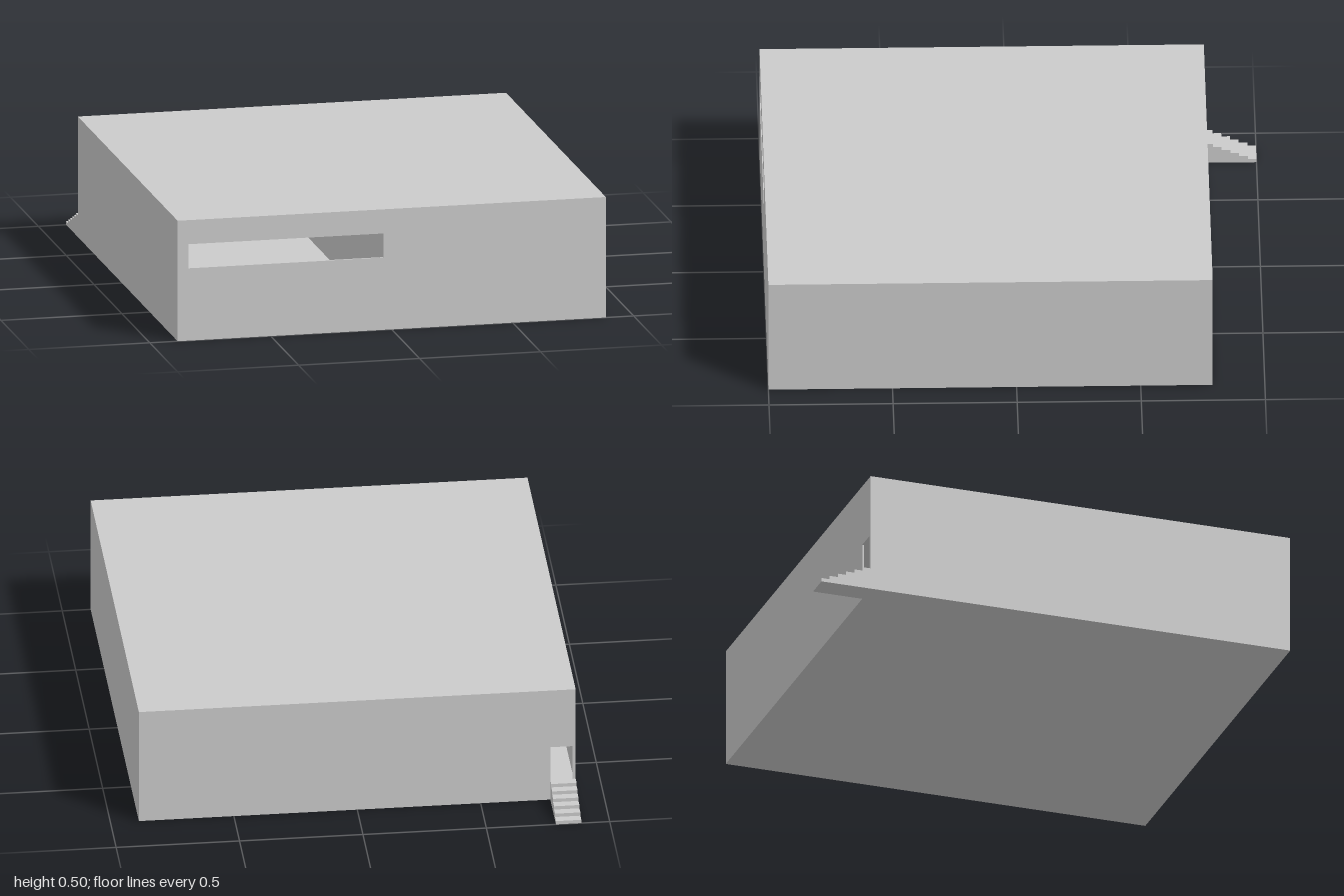
import * as THREE from 'three';

const X = 0.885, H = 0.5, BACK = -0.79, FRONT = 1, T = 0.008;
const DOOR_SILL = 0.09;

export function createModel() {
  const group = new THREE.Group();
  const material = new THREE.MeshStandardMaterial({ color: 0xcccccc, flatShading: true });

  const add = (name, geometry) => {
    const mesh = new THREE.Mesh(geometry, material);
    mesh.name = name;
    group.add(mesh);
    return mesh;
  };

  // Box given by its lower and upper corners
  const box = (name, x0, x1, y0, y1, z0, z1) =>
    add(name, new THREE.BoxGeometry(x1 - x0, y1 - y0, z1 - z0)
      .translate((x0 + x1) / 2, (y0 + y1) / 2, (z0 + z1) / 2));

  const rect = (Type, x0, x1, y0, y1) => new Type([
    new THREE.Vector2(x0, y0), new THREE.Vector2(x1, y0),
    new THREE.Vector2(x1, y1), new THREE.Vector2(x0, y1),
  ]);

  // Wall across x with one rectangular opening
  const wallWithOpening = (name, z, x0, x1, y0, y1) => {
    const shape = rect(THREE.Shape, -X, X, 0, H);
    shape.holes.push(rect(THREE.Path, x0, x1, y0, y1));
    add(name, new THREE.ExtrudeGeometry(shape, { depth: T, bevelEnabled: false }).translate(0, 0, z));
  };

  // Outer shell
  wallWithOpening('frontWallWithWindow', FRONT - T, -0.84, -0.035, 0.3, 0.4);
  wallWithOpening('backWallWithDoorway', BACK, -0.872, -0.782, DOOR_SILL, 0.24);
  box('rightWall', -X, -X + T, 0, H, BACK + T, FRONT - T);
  box('leftWall', X - T, X, 0, H, BACK + T, FRONT - T);
  box('floor', -X + T, X - T, 0, T, BACK + T, FRONT - T);
  box('roof', -X + T, X - T, H - T, H, BACK + T, FRONT - T);

  // Raised walkway inside, level with the doorway
  box('entranceWalkway', -X + T, -0.69, T, DOOR_SILL, BACK + T, FRONT - T);
  box('lowBlock', -0.62, -0.57, T, 0.02, 0.47, 0.52);

  // Inner partitions
  box('mainPartition', 0.01, 0.01 + T, T, H - T, BACK + T, FRONT - T);
  for (const z of [-0.08, 0.3]) {
    box('crossPartition', 0.01 + T, X - T, T, H - T, z - T / 2, z + T / 2);
  }

  // Outside stairs, one solid stepped profile
  const steps = 6, run = 0.21 / steps, rise = DOOR_SILL / steps;
  const profile = new THREE.Shape().moveTo(0, 0);
  for (let i = 0; i < steps; i++) {
    const y = DOOR_SILL - i * rise;
    profile.lineTo(i * run, y).lineTo((i + 1) * run, y);
  }
  profile.lineTo(steps * run, 0);
  add('entranceStairs', new THREE.ExtrudeGeometry(profile, { depth: 0.103, bevelEnabled: false })
    .rotateY(Math.PI / 2).translate(-X, 0, BACK));

  return group;
}
